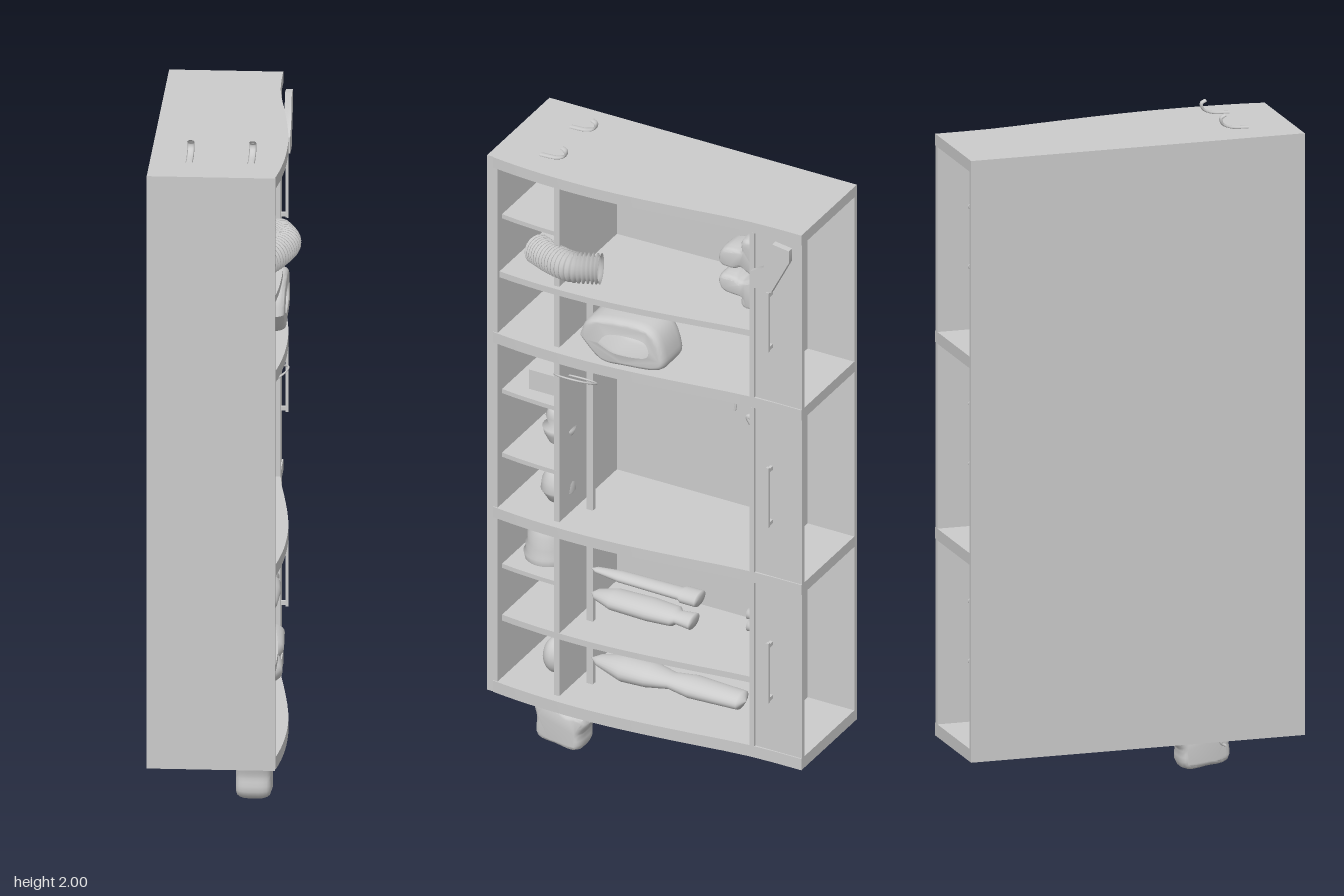
import * as THREE from 'three';
import { toCreasedNormals } from 'three/addons/utils/BufferGeometryUtils.js';

const mat = new THREE.MeshStandardMaterial({ color: 0xcccccc, side: THREE.DoubleSide });

// Bowed face of the cabinet: x at even steps from z = 0.51 to z = -0.51
const BOW = [0.153, 0.163, 0.169, 0.171, 0.17, 0.165, 0.157, 0.147, 0.136, 0.124, 0.115, 0.112, 0.112];
function bowX(z) {
  const t = Math.min(11.999, Math.max(0, (0.51 - z) / 0.085));
  const i = Math.floor(t);
  return THREE.MathUtils.lerp(BOW[i], BOW[i + 1], t - i);
}

export function createModel() {
  const root = new THREE.Group();

  const add = (name, geo, x = 0, y = 0, z = 0) => {
    const m = new THREE.Mesh(geo, mat);
    m.name = name;
    m.position.set(x, y, z);
    root.add(m);
    return m;
  };
  // Box given by its limits
  const box = (name, x0, x1, y0, y1, z0, z1) =>
    add(name, new THREE.BoxGeometry(x1 - x0, y1 - y0, z1 - z0), (x0 + x1) / 2, (y0 + y1) / 2, (z0 + z1) / 2);
  // Horizontal board whose +x edge follows the bow
  const board = (name, y0, y1, z0, z1, inset = 0, back = -0.22) => {
    const s = new THREE.Shape();
    s.moveTo(back, -z1);
    const n = 24;
    for (let i = 0; i <= n; i++) {
      const z = z1 + ((z0 - z1) * i) / n;
      s.lineTo(bowX(z) - inset, -z);
    }
    s.lineTo(back, -z0);
    const g = new THREE.ExtrudeGeometry(s, { depth: y1 - y0, bevelEnabled: false }).rotateX(-Math.PI / 2);
    return add(name, toCreasedNormals(g, 0.5), 0, y0, 0);
  };
  // Rounded silhouette drawn in [z, y] and given thickness along x
  const slice = (name, pts, x0, x1, bevel = 0, hole = null) => {
    const curve = p => new THREE.SplineCurve([...p, p[0]].map(([z, y]) => new THREE.Vector2(-z, y))).getPoints(40);
    const flat = p => p.map(([z, y]) => new THREE.Vector2(-z, y));
    const s = new THREE.Shape(bevel ? curve(pts) : flat(pts));
    if (hole) s.holes.push(new THREE.Path(curve(hole)));
    const g = new THREE.ExtrudeGeometry(s, {
      depth: x1 - x0 - 2 * bevel, bevelEnabled: bevel > 0, bevelSize: bevel * 0.5, bevelThickness: bevel, bevelSegments: 4,
    }).rotateY(Math.PI / 2);
    return add(name, toCreasedNormals(g, 0.8), x0 + bevel, 0, 0);
  };
  const lathe = (pts, seg = 24) => new THREE.LatheGeometry(pts.map(([r, y]) => new THREE.Vector2(r, y)), seg);
  const tube = (name, pts, r, x = 0) =>
    add(name, new THREE.TubeGeometry(new THREE.CatmullRomCurve3(pts.map(p => new THREE.Vector3(...p))), 32, r, 8), x);

  // Carcass
  const levels = [[0.15, 0.188], [0.74, 0.775], [1.33, 1.365], [1.92, 1.955]];
  levels.forEach(([a, b]) => board('horizontalBoard', a, b, -0.51, 0.49));
  box('frontWall', -0.22, 0.153, 0.15, 1.955, 0.475, 0.51);
  box('backPanel', -0.22, -0.205, 0.15, 1.955, -0.51, 0.51);

  // Three bays, each with a partition, rear panel, handle and column divider
  for (let i = 0; i < 3; i++) {
    const y0 = levels[i][1], y1 = levels[i + 1][0];
    box('partition', -0.205, 0.115, y0, y1, -0.355, -0.34);
    box('rearFacePanel', 0.092, 0.108, y0, y1, -0.51, -0.34);
    box('columnDivider', -0.205, 0.14, y0, y1, 0.278, 0.296);
    box('verticalRail', 0.02, 0.035, y0, i === 2 ? 1.55 : y1, 0.225, 0.245);
    const h = 0.46 + i * 0.592;
    box('handleGrip', 0.125, 0.134, h - 0.1, h + 0.1, -0.414, -0.404);
    [-0.09, 0.09].forEach(d => {
      box('handlePost', 0.105, 0.13, h + d - 0.006, h + d + 0.006, -0.414, -0.404);
      add('handleBolt', new THREE.CylinderGeometry(0.008, 0.008, 0.008, 12).rotateZ(Math.PI / 2), 0.09, h + d, -0.409);
    });
  }

  // Shelves
  [0.565, 0.94, 1.155, 1.745].forEach(y => board('columnShelf', y - 0.007, y + 0.007, 0.29, 0.475, 0.03, -0.205));
  board('lowerShelf', 0.38, 0.4, -0.34, 0.475, 0.03, -0.205);
  const upper = board('upperShelf', -0.01, 0.01, -0.34, 0.475, 0.015, -0.205);
  upper.position.y = 1.554;
  upper.rotation.x = 0.015;

  // Hooks on the top and under the base
  const hook = (x, y, dir) => tube('hook', [[0, 0, 0.375], [0, 0.005 * dir, 0.32], [0, 0.018 * dir, 0.295],
    [0, 0.034 * dir, 0.292], [0, 0.042 * dir, 0.305]].map(([a, b, c]) => [a, b + y, c]), 0.004, x).scale.set(2.6, 1, 1);
  hook(-0.105, 1.956, 1);
  hook(0.075, 1.956, 1);
  hook(-0.105, 0.149, -1);
  hook(0.075, 0.149, -1);

  // Horned mask hanging beneath
  slice('hangingMask', [[0.36, 0.125], [0.315, 0.132], [0.265, 0.105], [0.212, 0.11], [0.235, 0.065], [0.24, 0.02],
    [0.3, 0.025], [0.35, 0.035], [0.35, 0.085]], 0.03, 0.13, 0.035);
  add('maskSnout', new THREE.SphereGeometry(0.035, 20, 14), 0.075, 0.04, 0.305);

  // Ribbed hose, bent outwards
  const hosePath = new THREE.CatmullRomCurve3([[0.1, 1.65, 0.37], [0.14, 1.66, 0.3], [0.165, 1.668, 0.22], [0.14, 1.67, 0.14]]
    .map(p => new THREE.Vector3(...p)));
  const hose = new THREE.TubeGeometry(hosePath, 80, 0.043, 20);
  const hp = hose.attributes.position, centre = new THREE.Vector3(), v = new THREE.Vector3();
  for (let i = 0; i < hp.count; i++) {
    const ring = Math.floor(i / 21);
    hosePath.getPointAt(ring / 80, centre);
    v.fromBufferAttribute(hp, i).sub(centre).multiplyScalar(ring % 4 < 2 ? 1.08 : 0.87).add(centre);
    hp.setXYZ(i, v.x, v.y, v.z);
  }
  hose.computeVertexNormals();
  add('ribbedHose', hose);

  // Padded collar on the upper bay floor
  slice('paddedCollar', [[0.19, 1.44], [0.16, 1.49], [0.04, 1.51], [-0.03, 1.5], [-0.06, 1.44], [-0.05, 1.4], [0.06, 1.385],
    [0.13, 1.385]], 0.03, 0.16, 0.03, [[0.14, 1.43], [0.1, 1.47], [-0.01, 1.475], [-0.02, 1.425], [0.08, 1.41]]);

  // Pair of boots against the partition
  const boot = [[-0.34, 0.055], [-0.29, 0.055], [-0.285, 0.02], [-0.225, 0.01], [-0.215, -0.025], [-0.25, -0.03],
    [-0.28, -0.02], [-0.34, -0.045]];
  slice('upperBoot', boot.map(([z, y]) => [z, y + 1.78]), -0.04, 0.06, 0.025);
  slice('lowerBoot', boot.map(([z, y]) => [z, 1.675 - y * 0.85]), -0.04, 0.06, 0.025);
  box('bootPlate', -0.03, 0.09, 1.755, 1.815, -0.362, -0.35);

  // Tag hung on the rear face panel
  slice('hangingTag', [[-0.355, 1.755], [-0.425, 1.752], [-0.485, 1.87], [-0.485, 1.91], [-0.43, 1.918], [-0.4, 1.83],
    [-0.355, 1.805]], 0.122, 0.142);

  // Headgear and small things in the narrow column
  add('ridgedHelmet', lathe([[0.068, 0], [0.072, 0.02], [0.064, 0.025], [0.066, 0.05], [0.06, 0.055], [0.06, 0.085],
    [0.045, 0.12], [0.025, 0.138], [0, 0.142]]), 0.05, 0.592, 0.365);
  add('roundHelmet', lathe([[0, 0], [0.03, 0.008], [0.046, 0.035], [0.052, 0.045], [0.048, 0.075], [0.034, 0.108], [0, 0.125]]),
    0.06, 0.795, 0.325);
  add('brimmedHat', lathe([[0.03, 0], [0.045, 0.03], [0.05, 0.05], [0.032, 0.06], [0.04, 0.085], [0.03, 0.11], [0, 0.125]]),
    0.06, 1.0, 0.322);
  const pouch = add('pouch', new THREE.SphereGeometry(0.06, 20, 16), 0.06, 0.275, 0.33);
  pouch.scale.set(0.8, 0.95, 0.65);
  box('smallCase', -0.02, 0.1, 1.17, 1.235, 0.3, 0.4);

  // Thin loop resting in front of the divider
  const loop = add('thinLoop', new THREE.TorusGeometry(0.063, 0.003, 8, 40), 0.12, 1.262, 0.235);
  loop.rotation.set(Math.PI / 2, 0.5, 0);

  // Long rolled items lying along the lower bay
  const roll = (name, y, z, profile) => {
    const m = add(name, lathe(profile).rotateX(-Math.PI / 2), 0.09, y, z);
    m.scale.x = 1.6;
  };
  roll('slimRoll', 0.617, 0.2, [[0, 0], [0.008, 0.02], [0.015, 0.1], [0.017, 0.3], [0.022, 0.31], [0.022, 0.36], [0, 0.36]]);
  roll('middleRoll', 0.535, 0.2, [[0, 0], [0.014, 0.02], [0.028, 0.08], [0.03, 0.2], [0.026, 0.28], [0.018, 0.29], [0.022, 0.34], [0, 0.34]]);
  roll('longRoll', 0.315, 0.2, [[0, 0], [0.016, 0.03], [0.036, 0.12], [0.033, 0.2], [0.022, 0.27], [0.03, 0.34], [0.025, 0.5], [0, 0.515]]);

  // Fittings on the partition
  tube('wallHook', [[0.03, 1.225, -0.34], [0.03, 1.24, -0.29], [0.03, 1.21, -0.31], [0.03, 1.2, -0.33]], 0.01);
  tube('curvedHook', [[0.05, 1.26, -0.255], [0.05, 1.3, -0.265], [0.05, 1.32, -0.3], [0.05, 1.29, -0.34]], 0.004);
  [0.535, 0.575].forEach(y => add('spool', lathe([[0, 0], [0.018, 0], [0.013, 0.02], [0.013, 0.035], [0.02, 0.05]], 16)
    .rotateX(-Math.PI / 2), 0.03, y, -0.29));

  return root;
}
